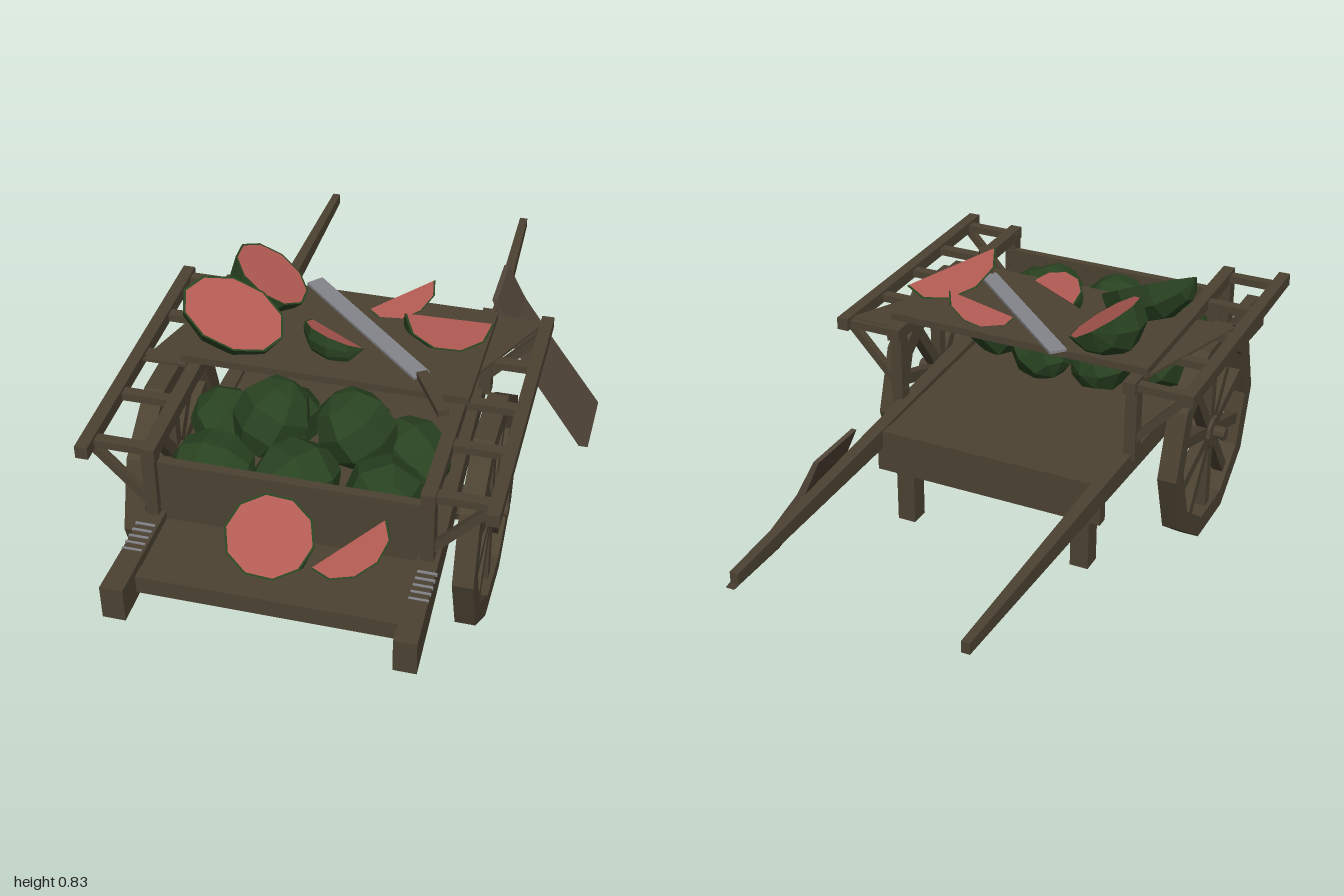
import * as THREE from 'three';

const mat = (name, color, side = THREE.FrontSide) => {
  const m = new THREE.MeshStandardMaterial({ color, side, flatShading: true });
  m.name = name;
  return m;
};

export function createModel() {
  const wood = mat('wood', 0x4c4232);
  const plankWood = mat('plankWood', 0x524639);
  const rind = mat('rind', 0x294321, THREE.DoubleSide);
  const flesh = mat('flesh', 0xb05a52, THREE.DoubleSide);
  const steel = mat('steel', 0x84858a);
  const cart = new THREE.Group();
  cart.name = 'fruitCart';
  const V = (x, y, z) => new THREE.Vector3(x, y, z);

  const add = (name, geo, material, parent = cart) => {
    const m = new THREE.Mesh(geo, material);
    m.name = name;
    parent.add(m);
    return m;
  };
  // Box given by its limits on each axis
  const box = (name, x0, x1, y0, y1, z0, z1, material = wood) => {
    const m = add(name, new THREE.BoxGeometry(x1 - x0, y1 - y0, z1 - z0), material);
    m.position.set((x0 + x1) / 2, (y0 + y1) / 2, (z0 + z1) / 2);
    return m;
  };
  // Square bar between two points
  const bar = (name, a, b, w, h, material = wood) => {
    const m = add(name, new THREE.BoxGeometry(w, h, a.distanceTo(b)), material);
    m.position.copy(a).add(b).multiplyScalar(0.5);
    m.lookAt(b);
    return m;
  };

  // Bed: floor, rear apron, front board and tray lip
  box('floor', -0.41, 0.3, 0.36, 0.405, -0.24, 0.9);
  box('rearApron', -0.4, 0.28, 0.285, 0.41, -0.25, -0.215);
  box('trayLip', -0.39, 0.3, 0.358, 0.41, 0.88, 0.92);
  box('frontBoard', -0.4, 0.31, 0.4, 0.59, 0.665, 0.69);

  // Long side beams that taper into handles: [x0, x1] at the front and rear
  for (const [name, f, r] of [
    ['rightBeam', [-0.44, -0.38], [-0.393, -0.37]],
    ['leftBeam', [0.296, 0.355], [0.243, 0.267]],
  ]) {
    const g = new THREE.BoxGeometry(1, 1, 2), p = g.attributes.position;
    for (let i = 0; i < p.count; i++) {
      const front = p.getZ(i) > 0, x = front ? f : r, y = front ? [0.336, 0.434] : [0.37, 0.402];
      p.setXY(i, x[p.getX(i) > 0 ? 1 : 0], y[p.getY(i) > 0 ? 1 : 0]);
    }
    add(name, g, wood);
    // Metal bands near the beam's front end
    for (let i = 0; i < 5; i++) {
      const z = 0.75 + i * 0.024;
      box('beamBand', f[0] + 0.002, f[1] - 0.006, 0.426, 0.434, z, z + 0.006, steel);
    }
  }

  // Rear legs
  for (const x of [-0.352, 0.19]) box('rearLeg', x, x + 0.054, 0.105, 0.37, -0.21, -0.152);

  // Ten-sided wheels with hubs, axle stubs and spokes
  const polygon = (C, r) => {
    const c = new C();
    for (let i = 0; i < 10; i++) {
      const a = i * Math.PI / 5;
      c[i ? 'lineTo' : 'moveTo'](r * Math.cos(a), r * Math.sin(a));
    }
    c.closePath();
    return c;
  };
  const rimShape = polygon(THREE.Shape, 0.322);
  rimShape.holes.push(polygon(THREE.Path, 0.262));
  const rimGeo = new THREE.ExtrudeGeometry(rimShape, { depth: 0.056, bevelEnabled: false });
  rimGeo.translate(0, 0, -0.028).rotateY(Math.PI / 2);
  for (const s of [-1, 1]) {
    const wheel = new THREE.Group();
    wheel.name = s > 0 ? 'leftWheel' : 'rightWheel';
    wheel.position.set(-0.048 + s * 0.443, 0.305, 0.33);
    add('rim', rimGeo, wood, wheel);
    const tube = (name, r, a, b) => {
      const m = add(name, new THREE.CylinderGeometry(r, r, b - a, 10).rotateZ(Math.PI / 2), wood, wheel);
      m.position.x = s * (a + b) / 2;
    };
    tube('hub', 0.049, -0.11, 0.026);
    tube('axle', 0.02, -0.14, 0.06);
    for (let i = 0; i < 10; i++) {
      const spoke = add('spoke', new THREE.BoxGeometry(0.032, 0.25, 0.034).translate(0, 0.15, 0), wood, wheel);
      spoke.rotation.x = i * Math.PI / 5;
    }
    cart.add(wheel);

    // Side rack: rails, crossbars, posts and struts
    const X = (d) => -0.048 + s * d;
    bar('outerRail', V(X(0.522) - 0.004, 0.632, -0.1), V(X(0.522) + 0.004, 0.632, 0.75), 0.034, 0.036);
    bar('innerRail', V(X(0.358) - 0.004, 0.632, -0.1), V(X(0.358) + 0.004, 0.632, 0.72), 0.036, 0.036);
    for (const z of [-0.07, 0.12, 0.31, 0.49, 0.69])
      bar('crossbar', V(X(0.34), 0.63, z), V(X(0.53), 0.63, z), 0.03, 0.022);
    for (const z of [-0.055, 0.69]) {
      box('post', X(0.36) - 0.017, X(0.36) + 0.017, 0.4, 0.625, z - 0.02, z + 0.02);
      bar('strut', V(X(0.52), 0.625, z), V(X(0.35), 0.44, z), 0.022, 0.022);
    }
  }

  // Thin corner boards lying across the racks
  for (const pts of [
    [[-0.43, -0.05], [-0.55, 0.35], [-0.43, 0.35]],
    [[0.46, -0.07], [0.33, -0.07], [0.33, 0.2]],
  ]) {
    const sh = new THREE.Shape(pts.map(([x, z]) => new THREE.Vector2(x, -z)));
    const g = new THREE.ExtrudeGeometry(sh, { depth: 0.008, bevelEnabled: false }).rotateX(-Math.PI / 2);
    add('cornerBoard', g, wood).position.y = 0.636;
  }

  // Serving board on the racks
  box('servingBoard', -0.442, 0.338, 0.654, 0.675, -0.05, 0.35);

  // Knife
  bar('knifeBlade', V(-0.19, 0.68, -0.07), V(0.2, 0.68, 0.29), 0.05, 0.008, steel);
  bar('knifeHandle', V(0.2, 0.686, 0.29), V(0.29, 0.686, 0.44), 0.03, 0.018);

  // Bowed plank leaning on the left handle, a little wider at its foot
  const profile = new THREE.Shape([
    [0.265, 0.485], [0.318, 0.36], [0.41, 0.215], [0.562, 0], [0.59, 0], [0.433, 0.226], [0.337, 0.37], [0.28, 0.485],
  ].map(([x, y]) => new THREE.Vector2(x, y)));
  const plankGeo = new THREE.ExtrudeGeometry(profile, { depth: 1, bevelEnabled: false });
  const pp = plankGeo.attributes.position;
  for (let i = 0; i < pp.count; i++) {
    const w = 0.235 - 0.08 * pp.getY(i);
    pp.setZ(i, -0.482 + (pp.getZ(i) - 0.5) * w);
  }
  plankGeo.computeVertexNormals();
  add('leaningPlank', plankGeo, plankWood);

  // Whole melons, longer across the cart: [x, y, z, radius]
  [
    [-0.29, 0.485, 0.555, 0.102], [-0.07, 0.488, 0.555, 0.112], [0.165, 0.485, 0.555, 0.108],
    [-0.167, 0.58, 0.43, 0.104], [0.06, 0.575, 0.42, 0.106], [0.2, 0.48, 0.37, 0.098],
    [-0.31, 0.48, 0.36, 0.1], [-0.17, 0.48, 0.3, 0.095], [0.03, 0.48, 0.3, 0.098],
  ].forEach(([x, y, z, r], i) => {
    const front = i < 3;
    const m = add('melon', new THREE.SphereGeometry(r, 7, 5), rind);
    m.scale.y = 1.12;
    m.position.set(x, y, z);
    m.rotation.set(front ? i : 1.2 + i * 0.5, front ? 0.2 : i * 1.3, front ? 1.4 + i * 0.25 : 0.9 + i * 0.7, 'ZYX');
  });

  // Cut melon: c = centre of the cut, long = its long axis, out = towards the rind, angle = cut angle
  const cut = (name, c, long, out, angle, r, half) => {
    const g = new THREE.Group(), inner = new THREE.Group();
    g.name = name;
    inner.rotation.y = Math.PI / 2 - angle / 2;
    inner.scale.set(r, half, r);
    g.add(inner);
    add('rind', new THREE.SphereGeometry(1, angle > 2 ? 5 : 3, 5, 0, angle), rind, inner);
    for (const a of [0, angle]) {
      add('flesh', new THREE.CircleGeometry(0.95, 5, Math.PI / 2, Math.PI), flesh, inner).rotation.y = a;
      add('rindEdge', new THREE.RingGeometry(0.95, 1, 5, 1, Math.PI / 2, Math.PI), rind, inner).rotation.y = a;
    }
    const y = long.normalize(), z = out.addScaledVector(y, -out.dot(y)).normalize();
    g.quaternion.setFromRotationMatrix(new THREE.Matrix4().makeBasis(y.clone().cross(z), y, z));
    g.position.copy(c);
    cart.add(g);
  };
  cut('halfMelon', V(-0.32, 0.765, 0.255), V(0.27, -0.11, 0), V(-0.35, -0.8, -0.33), Math.PI, 0.107, 0.147);
  cut('halfMelon', V(-0.28, 0.757, 0.035), V(0.03, 0, 1), V(-0.55, -0.78, -0.1), Math.PI, 0.118, 0.103);
  cut('halfMelon', V(-0.067, 0.503, 0.795), V(1, -0.08, 0), V(0, -0.8, -0.6), Math.PI, 0.11, 0.117);
  cut('melonSlice', V(0.125, 0.49, 0.76), V(0.17, 0.12, -0.09), V(0.25, -0.85, -0.1), 1.1, 0.084, 0.115);
  cut('melonSlice', V(0.24, 0.762, 0.135), V(0.21, -0.1, -0.15), V(-0.1, -0.9, 0.1), 1.1, 0.088, 0.14);
  cut('melonSlice', V(0.08, 0.73, 0.01), V(0.17, 0.08, -0.07), V(0.1, -0.9, 0), 1.1, 0.065, 0.1);
  cut('melonSlice', V(-0.05, 0.712, 0.205), V(0.17, 0, 0.1), V(-0.5, -0.12, 1), 1.2, 0.08, 0.1);

  return cart;
}
